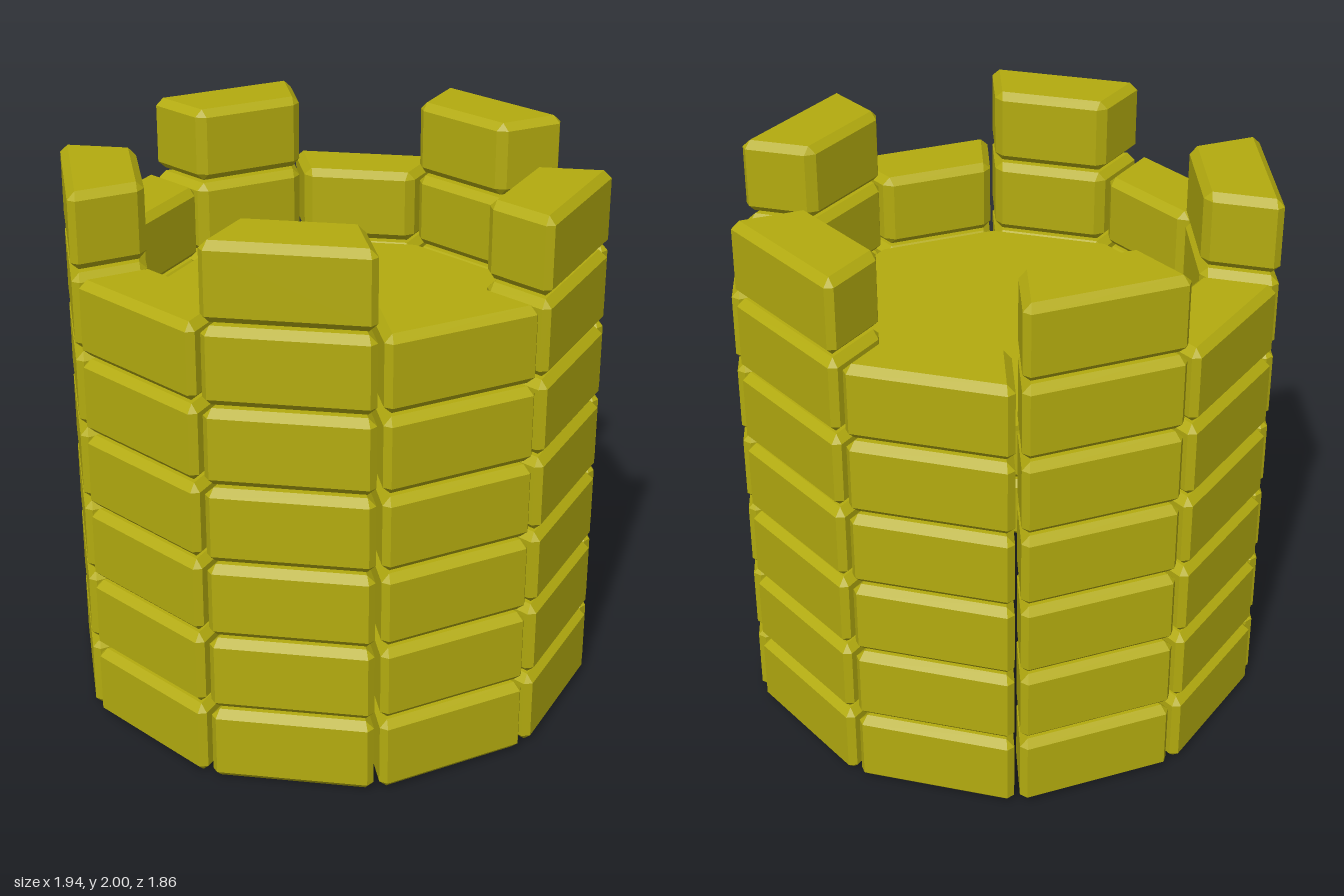
import * as THREE from 'three';
import { ConvexGeometry } from 'three/addons/geometries/ConvexGeometry.js';

const SIDES = 10, ROWS = 7;
const OUTER = 0.932, INNER = 0.67;      // distance of the wall faces from the axis
const HEIGHT = 0.275, PITCH = 0.2875;   // brick height and row spacing
const HALF_GAP = 0.01, BEVEL = 0.027;

// Half width of the wedge at depth z, with its slanted ends moved in by d
const halfWidth = (z, d) => z * Math.tan(Math.PI / SIDES) - d / Math.cos(Math.PI / SIDES);

// Corners of the wedge-shaped plan, moved in by d on all sides
function plan(d) {
  const zo = OUTER - d, zi = INNER + d;
  const wo = halfWidth(zo, HALF_GAP + d), wi = halfWidth(zi, HALF_GAP + d);
  return [[wo, zo], [-wo, zo], [-wi, zi], [wi, zi]].map(([x, z]) => new THREE.Vector3(x, 0, z));
}

// Wedge brick with all edges and corners chamfered
function brickGeometry() {
  const points = [];
  const add = (p, y) => points.push(new THREE.Vector3(p.x, y, p.z));
  for (const p of plan(BEVEL)) { add(p, 0); add(p, HEIGHT); }
  const corners = plan(0);
  corners.forEach((p, i) => {
    for (const step of [1, 3]) {
      const along = corners[(i + step) % 4].clone().sub(p).setLength(BEVEL);
      const q = p.clone().add(along);
      add(q, BEVEL);
      add(q, HEIGHT - BEVEL);
    }
  });
  return new ConvexGeometry(points);
}

export function createModel() {
  const model = new THREE.Group();
  model.name = 'tower';
  const stone = new THREE.MeshStandardMaterial({ color: 0xb3ab0f, flatShading: true });
  const brick = brickGeometry();

  // Full rings of bricks, then every other brick as battlements
  for (let row = 0; row < ROWS; row++) {
    const top = row === ROWS - 1;
    const ring = new THREE.Group();
    ring.name = top ? 'battlements' : `wallRing${row + 1}`;
    ring.position.y = row * PITCH;
    for (let i = top ? 1 : 0; i < SIDES; i += top ? 2 : 1) {
      const mesh = new THREE.Mesh(brick, stone);
      mesh.name = top ? 'merlon' : 'brick';
      mesh.rotation.y = (i * 2 * Math.PI) / SIDES;
      ring.add(mesh);
    }
    model.add(ring);
  }

  // Thin ten-sided floor inside the top ring
  const radius = 0.685 / Math.cos(Math.PI / SIDES);
  const floor = new THREE.Mesh(new THREE.CylinderGeometry(radius, radius, 0.02, SIDES), stone);
  floor.name = 'floor';
  floor.rotation.y = Math.PI / SIDES;
  floor.position.y = 1.413;
  model.add(floor);

  return model;
}
